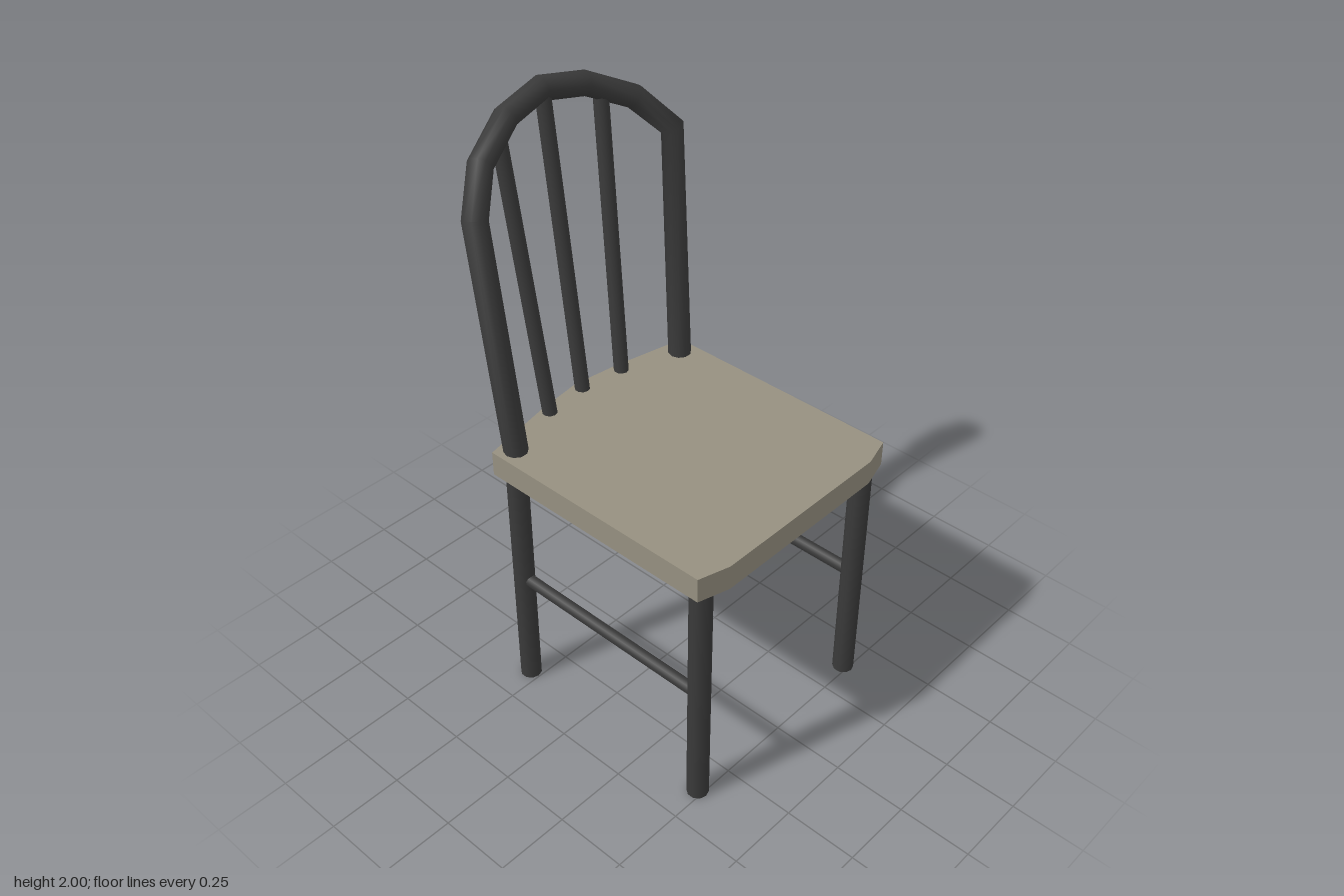
import * as THREE from 'three';

const metal = new THREE.MeshStandardMaterial({ color: 0x3a3a3a });
const seatMaterial = new THREE.MeshStandardMaterial({ color: 0x969080 });

// Bent pipe path: one ring per corner, mitred between its neighbours
class BentPath extends THREE.Curve {
  constructor(points) {
    super();
    this.points = points;
  }
  getPointAt(u) {
    return this.points[Math.round(u * (this.points.length - 1))].clone();
  }
  getTangentAt(u) {
    const p = this.points, last = p.length - 1, i = Math.round(u * last);
    const tangent = new THREE.Vector3();
    if (i > 0) tangent.add(p[i].clone().sub(p[i - 1]).normalize());
    if (i < last) tangent.add(p[i + 1].clone().sub(p[i]).normalize());
    return tangent.normalize();
  }
}

// Straight round bar between two points
function bar(name, from, to, radius) {
  const a = new THREE.Vector3(...from), b = new THREE.Vector3(...to);
  const mesh = new THREE.Mesh(new THREE.CylinderGeometry(radius, radius, a.distanceTo(b), 10), metal);
  mesh.name = name;
  mesh.position.copy(a).lerp(b, 0.5);
  mesh.quaternion.setFromUnitVectors(new THREE.Vector3(0, 1, 0), b.sub(a).normalize());
  return mesh;
}

function createSeat() {
  // Half outline as [x, z], front to back
  const half = [[0.325, 0.545], [0.43, 0.515], [0.43, -0.335], [0.17, -0.388]];
  const outline = [...half, [0, -0.41], ...half.map(([x, z]) => [-x, z]).reverse()];
  const shape = new THREE.Shape(outline.map(([x, z]) => new THREE.Vector2(x, -z)));
  const geometry = new THREE.ExtrudeGeometry(shape, { depth: 0.085, bevelEnabled: false });
  geometry.rotateX(-Math.PI / 2);
  const seat = new THREE.Mesh(geometry, seatMaterial);
  seat.name = 'seat';
  seat.position.y = 0.87;
  return seat;
}

function createBackHoop() {
  const half = [[0.372, 0.94, -0.288], [0.405, 1.745, -0.355], [0.31, 1.857, -0.427], [0.158, 1.933, -0.482]];
  const points = [...half, [0, 1.962, -0.504], ...half.map(([x, y, z]) => [-x, y, z]).reverse()]
    .map((p) => new THREE.Vector3(...p));
  const geometry = new THREE.TubeGeometry(new BentPath(points), points.length - 1, 0.039, 10);
  const hoop = new THREE.Mesh(geometry, metal);
  hoop.name = 'backHoop';
  return hoop;
}

export function createModel() {
  const chair = new THREE.Group();
  chair.name = 'chair';
  chair.add(createSeat(), createBackHoop());

  for (const [side, s] of [['left', 1], ['right', -1]]) {
    const x = 0.375 * s;
    chair.add(
      bar(side + 'FrontLeg', [x, 0, 0.48], [x, 0.88, 0.48], 0.036),
      bar(side + 'BackLeg', [x, 0, -0.29], [x, 0.88, -0.29], 0.036),
      bar(side + 'Stretcher', [x, 0.435, 0.48], [x, 0.435, -0.29], 0.021),
      bar(side + 'Spindle', [0.162 * s, 0.94, -0.357], [0.206 * s, 1.905, -0.465], 0.025)
    );
  }
  chair.add(bar('centreSpindle', [0, 0.94, -0.375], [0, 1.95, -0.495], 0.025));
  return chair;
}
